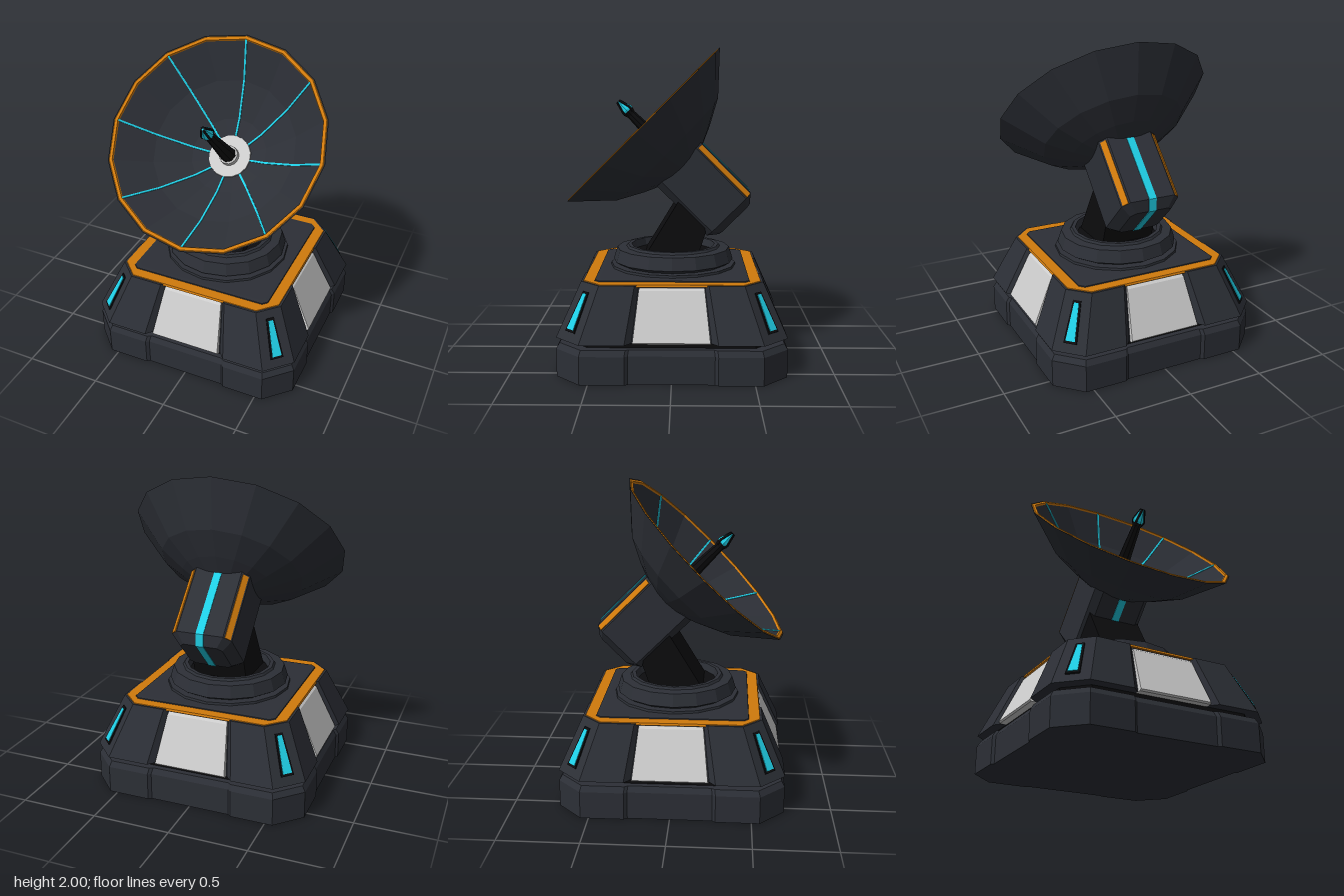
import * as THREE from 'three';

const mat = (color, extra = {}) =>
  new THREE.MeshStandardMaterial({ color, flatShading: true, ...extra });
const DARK = mat(0x2c2f36), BLACK = mat(0x0c0c0e), ORANGE = mat(0xd07a0c);
const CYAN = mat(0x1fcfe6), GREY = mat(0xcccccc);

function add(parent, name, geometry, material) {
  const mesh = new THREE.Mesh(geometry, material);
  mesh.name = name;
  parent.add(mesh);
  return mesh;
}

// Skin a stack of rings (bottom to top, counter-clockwise from above) and cap both ends
function loft(rings) {
  const pos = [];
  const tri = (...pts) => pts.forEach(p => pos.push(...p));
  const n = rings[0].length;
  const centre = r => [0, 1, 2].map(k => r.reduce((s, p) => s + p[k], 0) / n);
  const top = rings[rings.length - 1], low = rings[0];
  const ct = centre(top), cl = centre(low);
  for (let j = 0; j < n; j++) {
    const k = (j + 1) % n;
    for (let i = 0; i < rings.length - 1; i++) {
      const A = rings[i], B = rings[i + 1];
      tri(A[j], A[k], B[k]);
      tri(A[j], B[k], B[j]);
    }
    tri(ct, top[j], top[k]);
    tri(cl, low[k], low[j]);
  }
  const g = new THREE.BufferGeometry();
  g.setAttribute('position', new THREE.Float32BufferAttribute(pos, 3));
  g.computeVertexNormals();
  return g;
}

// Square outline: half size h, chamfer start e, notch from n1 to n2 with depth d
function notched(y, h, e, n1, n2, d) {
  const side = [[-e, h], [-n1, h], [-n2, h - d], [n2, h - d], [n1, h], [e, h]];
  const ring = [];
  for (let q = 0; q < 4; q++) {
    for (let [x, z] of side) {
      for (let t = 0; t < q; t++) [x, z] = [z, -x];
      ring.push([x, y, z]);
    }
  }
  return ring;
}

// Chamfered rectangle outline
function octagon(y, hx, hz, c) {
  const a = hx - c, b = hz - c;
  return [[-a, hz], [a, hz], [hx, b], [hx, -b], [a, -hz], [-a, -hz], [-hx, -b], [-hx, b]]
    .map(([x, z]) => [x, y, z]);
}

const quad = (y, hx, z1, z0) => [[-hx, y, z1], [hx, y, z1], [hx, y, z0], [-hx, y, z0]];

const lathe = (pts, sides = 16) =>
  new THREE.LatheGeometry(pts.map(p => new THREE.Vector2(...p)), sides);

// Flat outline extruded to a thickness centred on z = 0
function slab(pts, depth) {
  const g = new THREE.ExtrudeGeometry(new THREE.Shape(pts.map(p => new THREE.Vector2(...p))),
    { depth, bevelEnabled: false });
  return g.translate(0, 0, -depth / 2);
}

function buildBase() {
  const base = new THREE.Group();
  base.name = 'base';
  add(base, 'plinth', loft([
    notched(0, 0.705, 0.55, 0.28, 0.26, 0.015),
    notched(0.175, 0.705, 0.55, 0.28, 0.26, 0.015),
    notched(0.21, 0.685, 0.54, 0.275, 0.255, 0.015)]), DARK);
  add(base, 'groove', loft([octagon(0.2, 0.635, 0.635, 0.13), octagon(0.26, 0.635, 0.635, 0.13)]), BLACK);
  add(base, 'slopedBody', loft([
    notched(0.245, 0.705, 0.55, 0.28, 0.24, 0.045),
    notched(0.57, 0.56, 0.44, 0.225, 0.2, 0.03)]), DARK);

  // Deck with orange border
  add(base, 'deckBorder', loft([octagon(0.56, 0.55, 0.55, 0.11), octagon(0.574, 0.545, 0.545, 0.11)]), ORANGE);
  add(base, 'deckPlate', loft([
    octagon(0.57, 0.478, 0.478, 0.03), octagon(0.58, 0.475, 0.475, 0.03),
    octagon(0.582, 0.45, 0.45, 0.03)]), DARK);

  for (let q = 0; q < 4; q++) {
    // Grey panel on each side
    const panel = add(base, 'sidePanel', loft([
      quad(0.245, 0.235, 0.68, 0.6), quad(0.255, 0.232, 0.688, 0.6),
      quad(0.54, 0.2, 0.556, 0.5), quad(0.552, 0.195, 0.54, 0.5)]), GREY);
    panel.rotation.y = q * Math.PI / 2;

    // Tapered light on each corner
    const corner = new THREE.Group();
    corner.name = 'cornerLight';
    corner.rotation.y = Math.PI / 4 + q * Math.PI / 2;
    const mount = new THREE.Group();
    mount.position.set(0, 0.41, 0.798);
    mount.rotation.x = -0.52;
    corner.add(mount);
    const taper = (w0, w1, h) => [[-w0, -h], [w0, -h], [w1, h], [-w1, h]];
    add(mount, 'lightFrame', slab(taper(0.042, 0.026, 0.13), 0.012), BLACK);
    add(mount, 'lightLens', slab(taper(0.03, 0.015, 0.115), 0.02), CYAN);
    base.add(corner);
  }
  return base;
}

function buildMount() {
  const mount = new THREE.Group();
  mount.name = 'mount';
  add(mount, 'turntable', lathe([
    [0.415, 0.57], [0.41, 0.597], [0.355, 0.597], [0.395, 0.62], [0.37, 0.7],
    [0.31, 0.705], [0.3, 0.72], [0.275, 0.72], [0.265, 0.67]]), DARK);
  add(mount, 'turntableWell', lathe([[0.27, 0.67], [0, 0.672]]), BLACK);
  // Slanted neck, outline in (-z, y)
  const neck = add(mount, 'neck', slab([
    [-0.18, 0.67], [0.16, 0.67], [0.21, 0.82], [0.2, 0.95], [0.05, 1.05]], 0.36), BLACK);
  neck.rotation.y = Math.PI / 2;
  return mount;
}

function buildDish() {
  // Local y is the dish axis, origin at the rim centre
  const dish = new THREE.Group();
  dish.name = 'dish';
  dish.position.set(0, 1.5, 0.2);
  dish.rotation.x = Math.PI / 4;

  const inner = [[0.68, -0.004], [0.47, -0.18], [0.25, -0.3], [0.14, -0.33]];
  add(dish, 'reflector', lathe([
    [0, -0.39], [0.19, -0.365], [0.31, -0.31], [0.474, -0.22], [0.707, 0],
    ...inner, [0, -0.335]]), DARK);
  add(dish, 'rimBand', lathe([[0.7, 0], [0.695, 0.004], [0.676, 0.003], [0.672, -0.012]]), ORANGE);

  // Eight glowing ribs following the inner curve
  const rib = slab([...inner.map(([r, a]) => [r, a + 0.007]),
    ...inner.map(([r, a]) => [r, a - 0.01]).reverse()], 0.012);
  for (let k = 0; k < 8; k++) add(dish, 'rib', rib, CYAN).rotation.y = k * Math.PI / 4;

  // Hub and feed
  add(dish, 'hubDisc', lathe([[0.143, -0.335], [0.14, -0.322], [0, -0.322]]), GREY);
  add(dish, 'hubCollar', lathe([[0.064, -0.325], [0.062, -0.29], [0.05, -0.283], [0, -0.283]]), GREY);
  add(dish, 'feedRod', lathe([[0.054, -0.3], [0.05, -0.25], [0.03, 0.1], [0.04, 0.13], [0, 0.135]], 8), BLACK);
  add(dish, 'feedTip', lathe([[0.038, 0.125], [0.041, 0.145], [0.013, 0.22], [0, 0.222]], 8), CYAN);
  for (let k = 0; k < 4; k++) {
    const holder = new THREE.Group();
    holder.name = 'tipProng';
    holder.rotation.y = Math.PI / 4 + k * Math.PI / 2;
    add(holder, 'prong', slab([[0.025, 0.1], [0.044, 0.13], [0.044, 0.147], [0.017, 0.222], [0.005, 0.222]], 0.014), BLACK);
    dish.add(holder);
  }

  // Rear housing with orange edge strips and a cyan stripe wrapped round it
  add(dish, 'housing', loft([
    octagon(-0.845, 0.14, 0.14, 0.03), octagon(-0.79, 0.197, 0.197, 0.045),
    octagon(-0.33, 0.197, 0.197, 0.045)]), DARK);
  for (const s of [-1, 1]) {
    const strip = add(dish, 'edgeStrip', new THREE.BoxGeometry(0.04, 0.44, 0.012), ORANGE);
    strip.position.set(s * 0.1745, -0.57, -0.1745);
    strip.rotation.y = -s * Math.PI / 4;
  }
  const stripe = add(dish, 'housingStripe', slab([
    [-0.201, -0.36], [-0.201, -0.792], [-0.142, -0.849],
    [0.142, -0.849], [0.201, -0.792], [0.201, -0.36]], 0.05), CYAN);
  stripe.rotation.y = Math.PI / 2;
  return dish;
}

export function createModel() {
  const model = new THREE.Group();
  model.name = 'dishAntenna';
  model.add(buildBase(), buildMount(), buildDish());
  return model;
}
